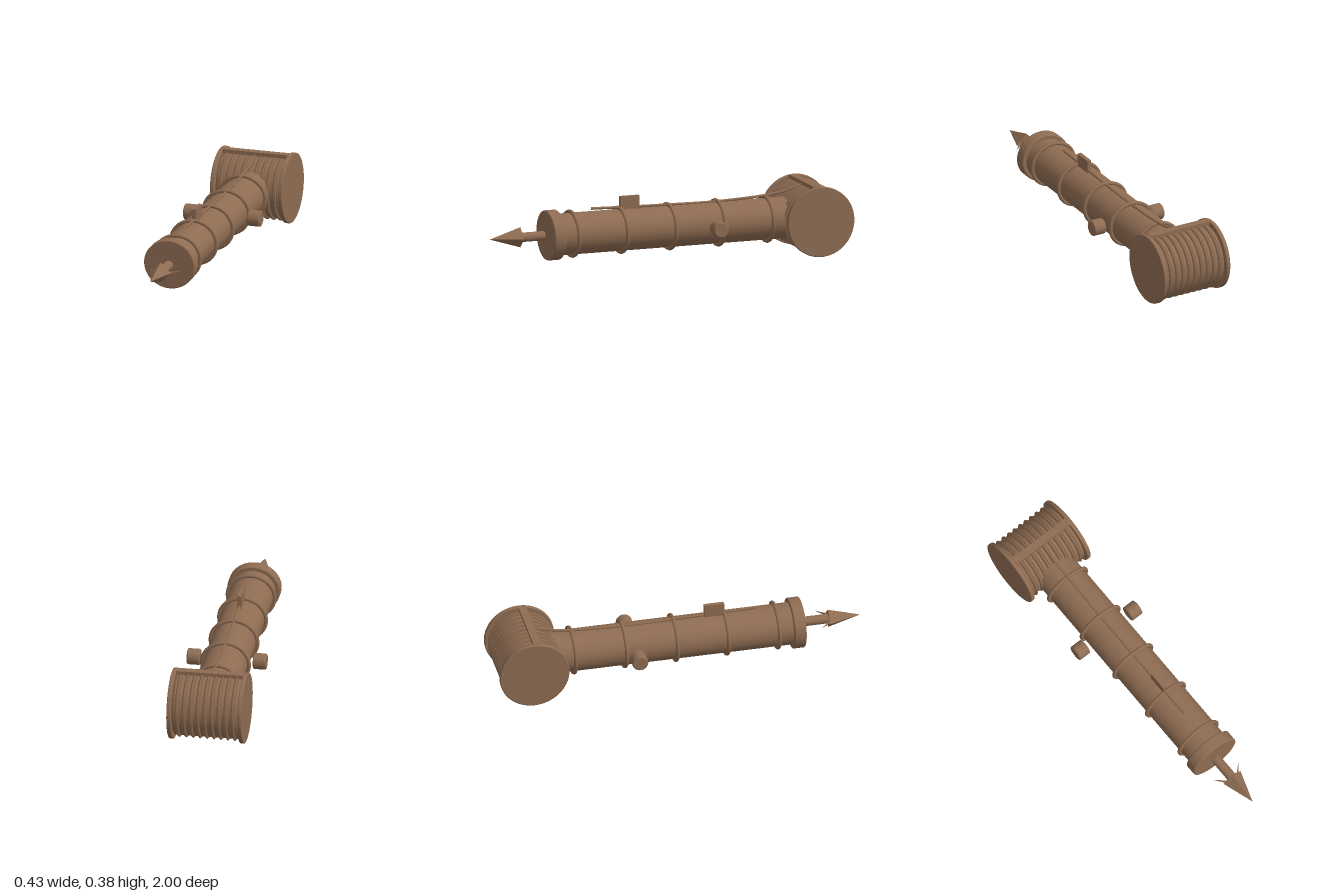
import * as THREE from 'three';

const AXIS_Y = 0.191; // height of the barrel axis
const DRUM_Z = -0.8125;
const SQUASH = 0.94; // the body is slightly flatter than wide

export function createModel() {
  const model = new THREE.Group();
  const wood = new THREE.MeshStandardMaterial({ color: 0x8e6c52 });
  wood.name = 'brown wood';

  const add = (name, geometry, x, y, z) => {
    const mesh = new THREE.Mesh(geometry, wood);
    mesh.name = name;
    mesh.position.set(x, y, z);
    model.add(mesh);
    return mesh;
  };

  // Solid cylinder along y with small bevelled rims and crisp edges
  const bevelled = (radius, length, bevel, segments = 48) => {
    const h = length / 2;
    const c = bevel * 0.3;
    const outline = [
      [0, -h], [radius - bevel, -h], [radius - bevel, -h], [radius - c, -h + c], [radius, -h + bevel],
      [radius, -h + bevel], [radius, h - bevel], [radius, h - bevel],
      [radius - c, h - c], [radius - bevel, h], [radius - bevel, h], [0, h],
    ];
    const geometry = new THREE.LatheGeometry(outline.map((p) => new THREE.Vector2(...p)), segments);
    return geometry;
  };
  const alongZ = (g) => g.rotateX(Math.PI / 2).scale(1, SQUASH, 1);
  const alongX = (g) => g.rotateZ(-Math.PI / 2);

  // Barrel, muzzle and hoops
  add('barrel', alongZ(new THREE.CylinderGeometry(0.118, 0.118, 1.36, 48)), 0, AXIS_Y, -0.04);
  add('muzzle', alongZ(bevelled(0.142, 0.065, 0.006)), 0, AXIS_Y, 0.6475);
  for (let i = 0; i < 5; i++) {
    const hoop = new THREE.TorusGeometry(0.126, 0.011, 8, 48).scale(1, SQUASH, 1);
    add('barrelHoop', hoop, 0, AXIS_Y, 0.537 - i * 0.277);
  }

  // Trunnions on both sides
  for (const side of [-1, 1]) {
    add('trunnion', alongX(bevelled(0.043, 0.07, 0.006, 32)), side * 0.178, AXIS_Y + 0.001, -0.24);
  }

  // Drum with end discs
  add('drumCore', alongX(bevelled(0.167, 0.36, 0.012)), 0, AXIS_Y, DRUM_Z);
  for (const side of [-1, 1]) {
    add('drumDisc', alongX(bevelled(0.189, 0.023, 0.004, 64)), side * 0.1905, AXIS_Y, DRUM_Z);
  }

  // Wound coils on the drum
  for (let i = -4; i <= 4; i++) {
    const coil = new THREE.TorusGeometry(0.167, 0.011, 4, 64).rotateY(Math.PI / 2);
    add('drumCoil', coil, i * 0.0375, AXIS_Y, DRUM_Z);
  }
  add('drumBar', new THREE.BoxGeometry(0.36, 0.021, 0.042), 0, 0.371, -0.796);

  // Line running along the top of the barrel to the drum
  const path = new THREE.CatmullRomCurve3([
    [0.425, 0.318], [0.05, 0.309], [-0.33, 0.306], [-0.65, 0.328], [-0.79, 0.365],
  ].map(([z, y]) => new THREE.Vector3(0, y, z)));
  add('line', new THREE.TubeGeometry(path, 40, 0.007, 8, false), 0, 0, 0);

  // Sight block
  add('sight', new THREE.BoxGeometry(0.022, 0.072, 0.108), 0, 0.336, 0.205);

  // Harpoon shaft and four-sided head
  add('harpoonShaft', alongZ(new THREE.CylinderGeometry(0.027, 0.027, 0.15, 16)), 0, AXIS_Y, 0.765);
  const head = new THREE.ConeGeometry(0.058, 0.175, 4).toNonIndexed();
  head.computeVertexNormals();
  add('harpoonHead', alongZ(head), 0, AXIS_Y + 0.001, 0.9125);

  // Swept-back barbs
  for (const side of [-1, 1]) {
    const barb = new THREE.ConeGeometry(0.008, 0.085, 4).toNonIndexed();
    barb.computeVertexNormals();
    const mesh = add('harpoonBarb', barb, side * 0.061, AXIS_Y + 0.001, 0.801);
    const direction = new THREE.Vector3(side * 0.68, 0, -0.73).normalize();
    mesh.quaternion.setFromUnitVectors(new THREE.Vector3(0, 1, 0), direction);
  }

  return model;
}
